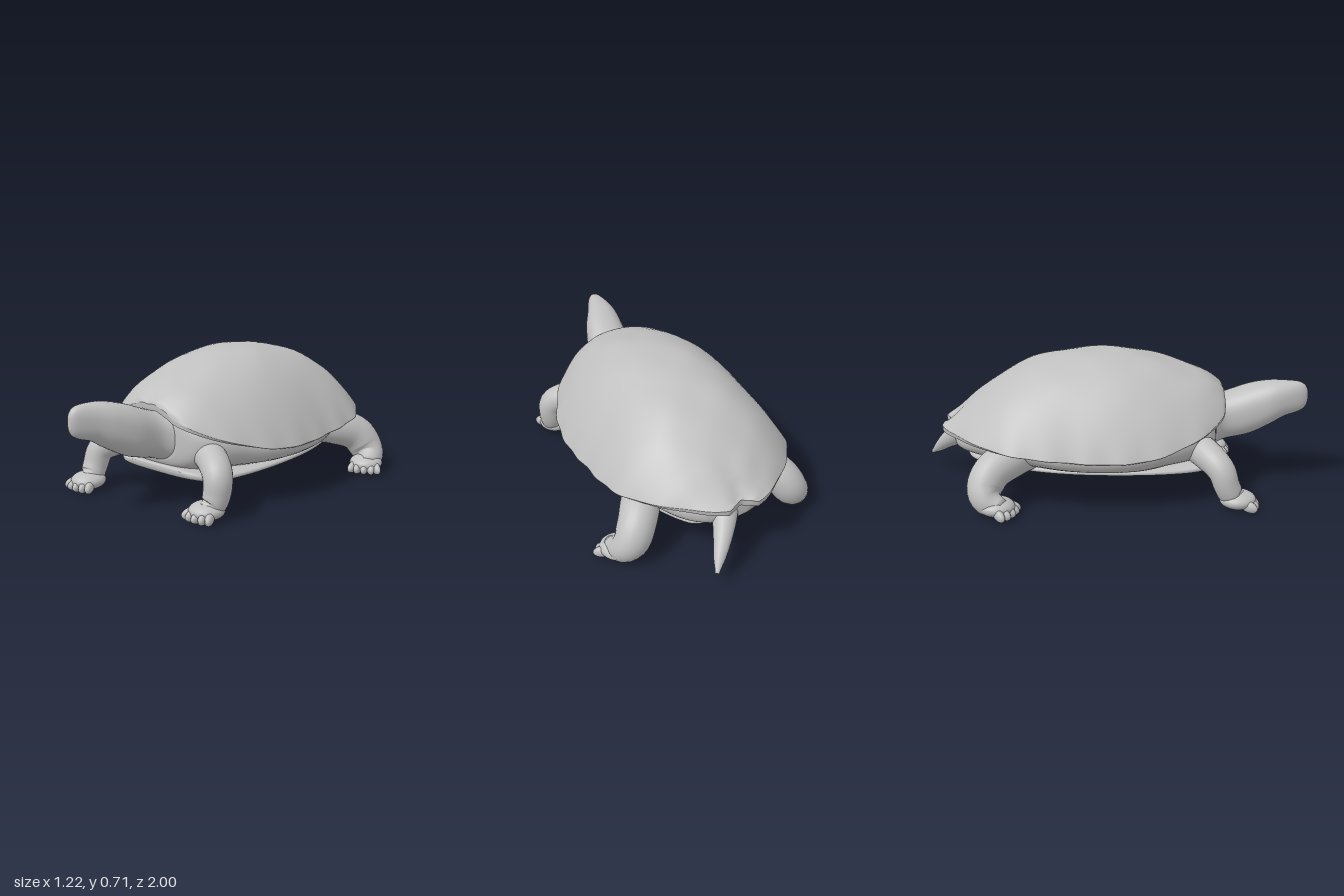
import * as THREE from 'three';

const grey = new THREE.MeshStandardMaterial({ color: 0xc0c0c0 });
grey.name = 'stone grey';

function part(name, geometry, parent) {
  const mesh = new THREE.Mesh(geometry, grey);
  mesh.name = name;
  parent.add(mesh);
  return mesh;
}

// Catmull-Rom through rows of numbers, t from 0 to 1
function sampleRows(rows, t) {
  const f = t * (rows.length - 1);
  const i = Math.min(Math.floor(f), rows.length - 2);
  const u = f - i;
  const at = k => rows[Math.max(0, Math.min(rows.length - 1, k))];
  return rows[0].map((_, c) => {
    const [a, b, d, e] = [at(i - 1)[c], at(i)[c], at(i + 1)[c], at(i + 2)[c]];
    return b + 0.5 * u * (d - a + u * (2 * a - 5 * b + 4 * d - e + u * (3 * (b - d) + e - a)));
  });
}

// Skin over closed rings of equal length, turning counterclockwise about the travel direction
function loft(rings, cap = true) {
  const n = rings[0].length, pos = [], index = [];
  rings.forEach(r => r.forEach(p => pos.push(p.x, p.y, p.z)));
  for (let j = 0; j < rings.length - 1; j++) {
    for (let i = 0; i < n; i++) {
      const k = (i + 1) % n, a = j * n, b = a + n;
      index.push(a + i, a + k, b + k, a + i, b + k, b + i);
    }
  }
  if (cap) {
    [0, rings.length - 1].forEach((j, end) => {
      const c = new THREE.Vector3();
      rings[j].forEach(p => c.addScaledVector(p, 1 / n));
      const ci = pos.length / 3;
      pos.push(c.x, c.y, c.z);
      for (let i = 0; i < n; i++) {
        const k = j * n + (i + 1) % n;
        if (end) index.push(ci, j * n + i, k);
        else index.push(ci, k, j * n + i);
      }
    });
  }
  const g = new THREE.BufferGeometry();
  g.setAttribute('position', new THREE.Float32BufferAttribute(pos, 3));
  g.setIndex(index);
  g.computeVertexNormals();
  return g;
}

// Oval sections [x, y, z, rx, ry], listed from front to back; power < 1 squares them off
function ovalLoft(rows, power, steps = 48, sides = 40) {
  const bend = v => Math.sign(v) * Math.abs(v) ** power;
  const rings = [];
  for (let j = 0; j <= steps; j++) {
    const [x, y, z, rx, ry] = sampleRows(rows, j / steps);
    rings.push(Array.from({ length: sides }, (_, i) => {
      const a = i / sides * Math.PI * 2;
      return new THREE.Vector3(x + rx * bend(Math.cos(a)), y - ry * bend(Math.sin(a)), z);
    }));
  }
  return loft(rings);
}

// Round limb along [x, y, z, radius]
function limb(rows, steps = 28, sides = 24) {
  const curve = new THREE.CatmullRomCurve3(rows.map(r => new THREE.Vector3(r[0], r[1], r[2])));
  const { normals, binormals } = curve.computeFrenetFrames(steps);
  const rings = [];
  for (let j = 0; j <= steps; j++) {
    const t = curve.getUtoTmapping(j / steps);
    const p = curve.getPoint(t), r = sampleRows(rows, t)[3];
    rings.push(Array.from({ length: sides }, (_, i) => {
      const a = i / sides * Math.PI * 2;
      return p.clone().addScaledVector(normals[j], r * Math.cos(a)).addScaledVector(binormals[j], r * Math.sin(a));
    }));
  }
  return loft(rings);
}

// Domed upper shell with a thin rim: rows of [z, half width, crest y, rim y]
function shellGeometry() {
  const rows = [
    [0.57, 0.16, 0.515, 0.46], [0.55, 0.24, 0.54, 0.43], [0.48, 0.33, 0.59, 0.385],
    [0.38, 0.41, 0.63, 0.345], [0.2, 0.49, 0.685, 0.295], [0, 0.52, 0.714, 0.28],
    [-0.2, 0.512, 0.705, 0.285], [-0.4, 0.5, 0.665, 0.3], [-0.55, 0.46, 0.595, 0.315],
    [-0.7, 0.35, 0.49, 0.33], [-0.8, 0.235, 0.405, 0.335], [-0.86, 0.15, 0.36, 0.335],
    [-0.89, 0.08, 0.345, 0.335],
  ];
  const steps = 96, m = 48, rings = [];
  for (let j = 0; j <= steps; j++) {
    const [z, half, top, rim] = sampleRows(rows, j / steps);
    const thick = 0.036 * Math.min(1, Math.min(j, steps - j) / 2);
    const point = (u, drop) => {
      const edge = Math.abs(u) ** 12;
      const x = u * half * (1 + 0.008 * edge * Math.sin(z * 34));
      const arch = (1 - Math.abs(u) ** 2.45) ** 0.95;
      const lump = 0.003 * Math.sin(z * 19) * Math.cos(u * 11) * arch;
      const notch = z < -0.78 ? 0.035 * Math.exp(-((x / 0.045) ** 2)) * (-0.78 - z) / 0.11 : 0;
      return new THREE.Vector3(x - 0.018, rim + (top - rim) * arch + lump - drop * (1 - 0.4 * edge), z + notch);
    };
    const ring = [];
    // even angular spacing packs points near the steep rim
    for (let i = 0; i <= m; i++) ring.push(point(-Math.cos(i / m * Math.PI), 0));
    for (let i = m; i >= 0; i--) ring.push(point(-Math.cos(i / m * Math.PI) * 0.975, thick));
    rings.push(ring);
  }
  return loft(rings, false);
}

// Flattened foot with five short toes, pointing along +z before turning
function foot(name, x, z, turn, parent) {
  const group = new THREE.Group();
  group.name = name;
  const pad = part('footPad', new THREE.SphereGeometry(1, 28, 18), group);
  pad.scale.set(0.088, 0.046, 0.092);
  pad.position.y = 0.051;
  for (let i = -2; i <= 2; i++) {
    const a = i * 0.4;
    const toe = part('toe', new THREE.SphereGeometry(1, 14, 10), group);
    toe.scale.set(0.022, 0.03, 0.05);
    toe.position.set(Math.sin(a) * 0.084, 0.035, 0.016 + Math.cos(a) * 0.044);
    toe.rotation.set(0.25, a * 0.6, 0, 'YXZ');
  }
  group.position.set(x, 0, z);
  group.rotation.y = turn;
  parent.add(group);
}

export function createModel() {
  const model = new THREE.Group();
  model.name = 'tortoise';

  part('upperShell', shellGeometry(), model);

  // Soft body, wide at the bridge and narrower where the legs come out
  part('body', ovalLoft([
    [-0.01, 0.335, 0.53, 0.14, 0.11], [-0.01, 0.325, 0.505, 0.25, 0.135], [-0.01, 0.31, 0.42, 0.33, 0.145],
    [-0.015, 0.295, 0.28, 0.4, 0.14], [-0.018, 0.285, 0.13, 0.487, 0.13], [-0.018, 0.28, -0.05, 0.508, 0.125],
    [-0.018, 0.285, -0.25, 0.48, 0.13], [-0.01, 0.29, -0.45, 0.39, 0.135], [0, 0.285, -0.7, 0.27, 0.1],
    [0, 0.275, -0.8, 0.17, 0.07], [0, 0.27, -0.83, 0.08, 0.04],
  ], 0.87), model);

  // Flat belly plate
  part('bellyShell', ovalLoft([
    [0, 0.19, 0.54, 0.18, 0.008], [0, 0.182, 0.52, 0.25, 0.025], [0, 0.17, 0.43, 0.33, 0.028],
    [0, 0.168, 0.2, 0.375, 0.025], [0, 0.168, -0.1, 0.375, 0.025], [0, 0.168, -0.35, 0.335, 0.024],
    [0, 0.17, -0.55, 0.26, 0.024], [0, 0.182, -0.71, 0.18, 0.022], [0, 0.19, -0.76, 0.1, 0.008],
  ], 0.65), model);

  // Neck and head, reaching forward and a little to the right
  part('headAndNeck', ovalLoft([
    [-0.097, 0.487, 1, 0.012, 0.03], [-0.096, 0.486, 0.985, 0.028, 0.06], [-0.094, 0.483, 0.95, 0.046, 0.08],
    [-0.086, 0.472, 0.88, 0.072, 0.094], [-0.07, 0.444, 0.8, 0.1, 0.116], [-0.048, 0.404, 0.7, 0.116, 0.13],
    [-0.034, 0.365, 0.58, 0.122, 0.122], [-0.03, 0.345, 0.51, 0.17, 0.125], [-0.02, 0.34, 0.42, 0.22, 0.14],
  ], 0.85), model);

  // Front legs: the right one reaches further forward
  part('leftFrontLeg', limb([
    [0.16, 0.28, 0.38, 0.08], [0.29, 0.265, 0.45, 0.078], [0.375, 0.21, 0.505, 0.073],
    [0.38, 0.12, 0.52, 0.068], [0.37, 0.07, 0.54, 0.06], [0.35, 0.05, 0.59, 0.04],
  ]), model);
  foot('leftFrontFoot', 0.35, 0.555, 0, model);
  part('rightFrontLeg', limb([
    [-0.18, 0.27, 0.38, 0.08], [-0.32, 0.255, 0.46, 0.078], [-0.41, 0.2, 0.53, 0.07],
    [-0.425, 0.12, 0.56, 0.065], [-0.42, 0.07, 0.59, 0.06], [-0.42, 0.05, 0.64, 0.04],
  ]), model);
  foot('rightFrontFoot', -0.42, 0.615, 0, model);

  // Mirrored hind legs
  for (const [side, s] of [['left', 1], ['right', -1]]) {
    part(side + 'HindLeg', limb([
      [s * 0.22, 0.25, -0.38, 0.085], [s * 0.33, 0.24, -0.51, 0.098], [s * 0.405, 0.19, -0.61, 0.095],
      [s * 0.45, 0.12, -0.64, 0.09], [s * 0.49, 0.075, -0.62, 0.075], [s * 0.525, 0.05, -0.55, 0.045],
    ]), model);
    foot(side + 'HindFoot', s * 0.495, -0.58, s * 0.45, model);
  }

  // Tail, bent to the left
  part('tail', limb([
    [0, 0.27, -0.7, 0.08], [0.035, 0.25, -0.8, 0.064], [0.095, 0.185, -0.89, 0.045],
    [0.145, 0.125, -0.95, 0.028], [0.18, 0.082, -0.993, 0.01],
  ]), model);

  return model;
}
